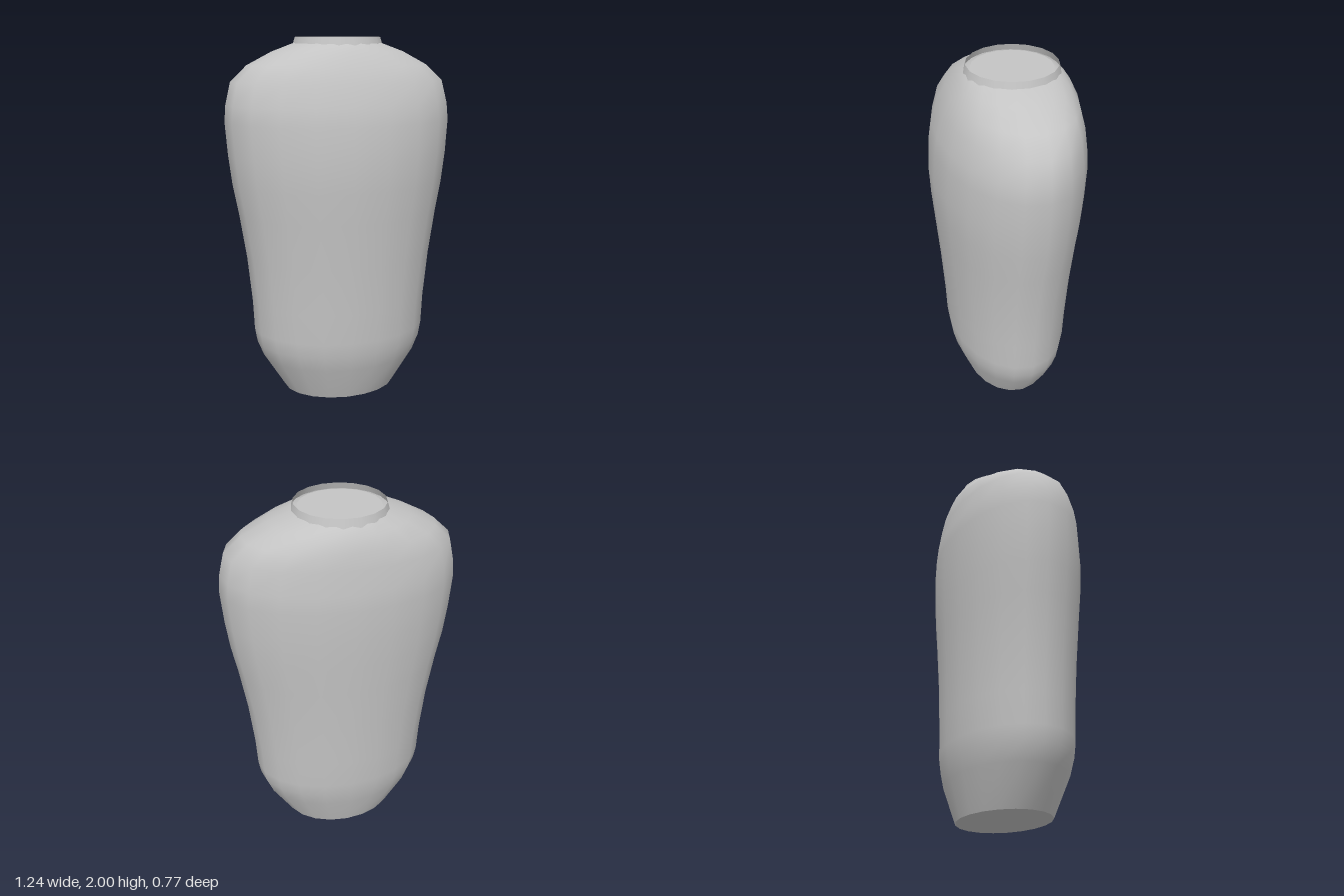
import * as THREE from 'three';

const SIDES = 20;
// Cross-sections: height, half width, front z, back z, z of the widest point
const RINGS = [
  [0, 0.325, 0.228, -0.245, -0.01],
  [0.2, 0.447, 0.302, -0.304, -0.01],
  [0.29, 0.482, 0.322, -0.32, -0.01],
  [0.37, 0.495, 0.331, -0.331, -0.01],
  [0.54, 0.502, 0.336, -0.336, -0.01],
  [0.8, 0.526, 0.35, -0.347, -0.01],
  [1.05, 0.562, 0.368, -0.362, -0.015],
  [1.22, 0.592, 0.38, -0.373, -0.02],
  [1.38, 0.61, 0.385, -0.381, -0.02],
  [1.56, 0.622, 0.371, -0.385, -0.02],
  [1.65, 0.614, 0.353, -0.378, -0.02],
  [1.77, 0.585, 0.318, -0.362, -0.025],
  [1.855, 0.495, 0.277, -0.35, -0.035],
  [1.925, 0.36, 0.233, -0.322, -0.04],
  [1.967, 0.243, 0.192, -0.284, -0.046],
  [1.977, 0.21, 0.162, -0.255, -0.046],
];

function ringPoint([y, w, front, back, mid], i) {
  const a = (i / SIDES) * Math.PI * 2;
  const s = Math.sin(a);
  return [w * Math.cos(a), y, mid + s * (s > 0 ? front - mid : mid - back)];
}

// Smooth skin through all the cross-sections
function skinGeometry() {
  const pos = [], index = [];
  RINGS.forEach((ring, r) => {
    for (let i = 0; i < SIDES; i++) {
      pos.push(...ringPoint(ring, i));
      if (r === RINGS.length - 1) continue;
      const a = r * SIDES + i, b = r * SIDES + (i + 1) % SIDES;
      index.push(a, a + SIDES, b, b, a + SIDES, b + SIDES);
    }
  });
  const g = new THREE.BufferGeometry();
  g.setAttribute('position', new THREE.Float32BufferAttribute(pos, 3));
  g.setIndex(index);
  g.computeVertexNormals();
  return g;
}

// Flat lid over one cross-section
function capGeometry(ring, up) {
  const pos = [], index = [];
  for (let i = 0; i < SIDES; i++) {
    pos.push(...ringPoint(ring, i));
    if (i > 1) index.push(0, up ? i : i - 1, up ? i - 1 : i);
  }
  const g = new THREE.BufferGeometry();
  g.setAttribute('position', new THREE.Float32BufferAttribute(pos, 3));
  g.setIndex(index);
  g.computeVertexNormals();
  return g;
}

export function createModel() {
  const group = new THREE.Group();
  group.name = 'torso';
  const grey = new THREE.MeshStandardMaterial({ color: 0xc4c4c4, side: THREE.DoubleSide });
  grey.name = 'light grey';

  const add = (name, geometry) => {
    const mesh = new THREE.Mesh(geometry, grey);
    mesh.name = name;
    group.add(mesh);
    return mesh;
  };

  // Body with flat waist and neck closures
  add('body', skinGeometry());
  add('waistBase', capGeometry(RINGS[0], false));
  add('neckFloor', capGeometry(RINGS[RINGS.length - 1], true));

  // Thin open collar, slightly narrower at the rim
  const collar = add('collar', new THREE.CylinderGeometry(0.232, 0.246, 0.045, 18, 1, true, Math.PI / 2));
  collar.position.set(0, 1.9775, -0.047);

  return group;
}
